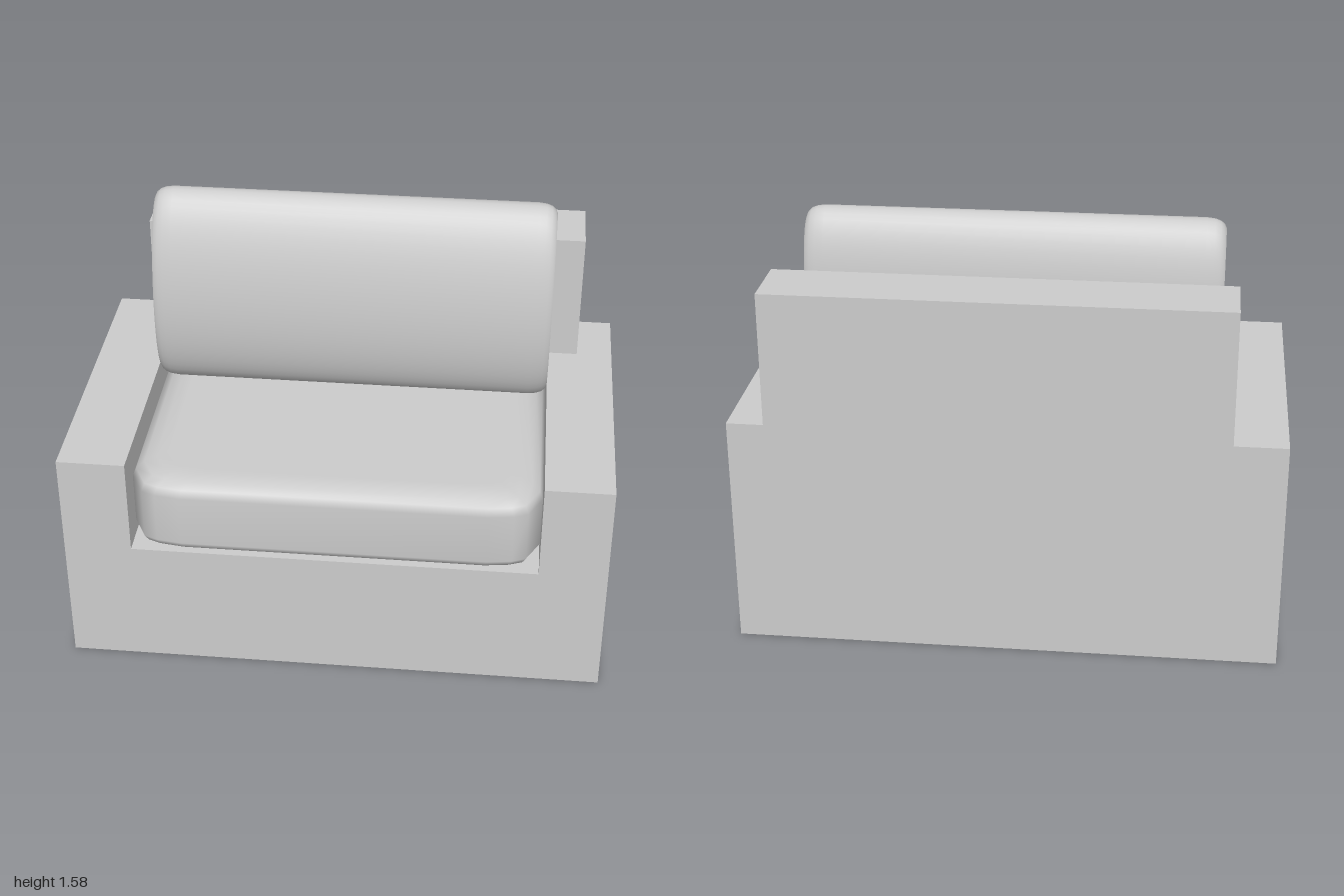
import * as THREE from 'three';

const material = new THREE.MeshStandardMaterial({ color: 0xcccccc });

function addMesh(group, name, geometry) {
  const mesh = new THREE.Mesh(geometry, material);
  mesh.name = name;
  group.add(mesh);
  return mesh;
}

// Extrudes an outline of [x, y] points from z0 to z1
function slab(points, z0, z1) {
  const shape = new THREE.Shape(points.map(([x, y]) => new THREE.Vector2(x, y)));
  return new THREE.ExtrudeGeometry(shape, { depth: z1 - z0, bevelEnabled: false }).translate(0, 0, z0);
}

// Smooth skin over a list of rings, with flat separate end caps
function loft(rings) {
  const n = rings[0].length;
  const positions = rings.flat(2);
  const index = [];
  for (let i = 0; i < rings.length - 1; i++) {
    for (let j = 0; j < n; j++) {
      const k = (j + 1) % n;
      const a = i * n + j, b = i * n + k, c = a + n, d = b + n;
      index.push(a, b, d, a, d, c);
    }
  }
  [[rings[0], true], [rings[rings.length - 1], false]].forEach(([ring, flip]) => {
    const start = positions.length / 3;
    positions.push(...ring.flat());
    for (let j = 1; j < n - 1; j++) {
      index.push(start, start + (flip ? j + 1 : j), start + (flip ? j : j + 1));
    }
  });
  const geometry = new THREE.BufferGeometry();
  geometry.setAttribute('position', new THREE.Float32BufferAttribute(positions, 3));
  geometry.setIndex(index);
  geometry.computeVertexNormals();
  return geometry;
}

export function createModel() {
  const group = new THREE.Group();
  group.name = 'armchair';

  // Base and both arms as one U-shaped block
  addMesh(group, 'baseAndArms', slab([
    [-1, 0], [1, 0], [1, 0.875], [0.75, 0.875], [0.75, 0.5],
    [-0.75, 0.5], [-0.75, 0.875], [-1, 0.875],
  ], -0.595, 0.58));

  // Backrest fits between the arms and spreads over them, slightly off centre
  addMesh(group, 'backrest', slab([
    [-0.75, 0.5], [0.75, 0.5], [0.75, 0.875], [0.865, 0.875], [0.865, 1.375],
    [-0.805, 1.375], [-0.805, 0.875], [-0.75, 0.875],
  ], -0.595, -0.345));

  // Seat cushion: plan outline stacked in height, drawn in at top and bottom
  const half = [[0.56, 0.468], [0.65, 0.455], [0.7, 0.435], [0.75, 0.34], [0.75, -0.468]];
  const plan = [...half, ...half.map(([x, z]) => [-x, z]).reverse()];
  const levels = [
    [0.5, 0.12], [0.5, 0.08], [0.507, 0.04], [0.525, 0.012], [0.55, 0],
    [0.75, 0], [0.78, 0.012], [0.798, 0.04], [0.808, 0.08], [0.808, 0.12],
  ];
  const seat = addMesh(group, 'seatCushion', loft(levels.map(([y, inset]) =>
    plan.map(([x, z]) => [x * (1 - inset / 0.75), y, z * (1 - inset / 0.468)]))));
  seat.position.z = 0.123;

  // Back cushion: leaning oval cross-section with softened ends
  const ends = [[0.75, 0.9], [0.743, 0.94], [0.73, 0.97], [0.71, 0.99], [0.68, 1]];
  const stations = [...ends.map(([x, s]) => [-x, s]), ...ends.slice().reverse()];
  const sides = 48;
  const back = addMesh(group, 'backCushion', loft(stations.map(([x, s]) =>
    Array.from({ length: sides }, (_, j) => {
      const t = (j / sides) * Math.PI * 2;
      return [x, 0.392 * s * Math.cos(t), 0.141 * s * Math.sin(t)];
    }))));
  back.position.set(0, 1.193, -0.2);
  back.rotation.x = -0.088;

  return group;
}
